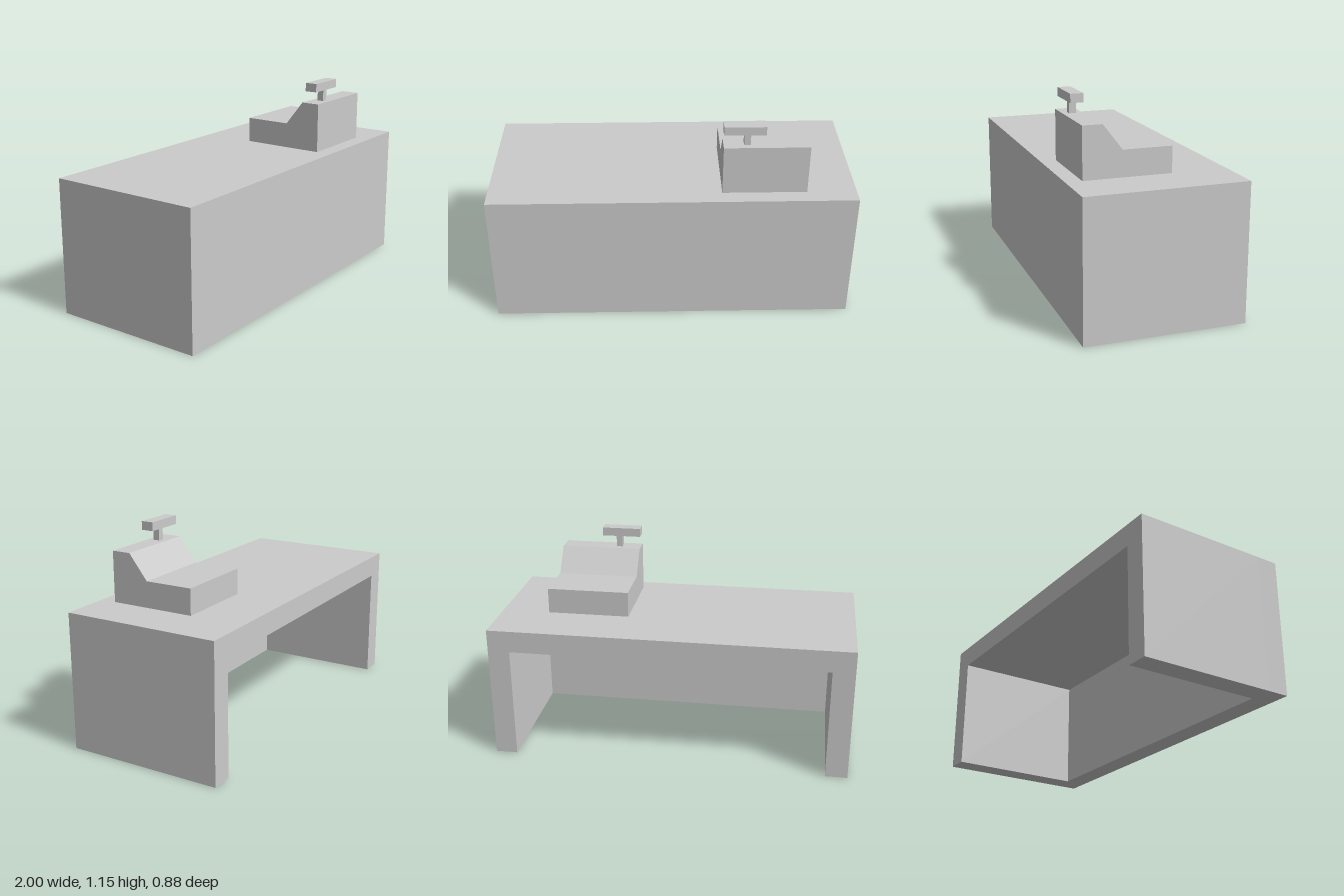
import * as THREE from 'three';

const material = new THREE.MeshStandardMaterial({ color: 0xcccccc, flatShading: true });

// Box given by its minimum and maximum corners
function box(name, [x0, y0, z0], [x1, y1, z1]) {
  const mesh = new THREE.Mesh(new THREE.BoxGeometry(x1 - x0, y1 - y0, z1 - z0), material);
  mesh.position.set((x0 + x1) / 2, (y0 + y1) / 2, (z0 + z1) / 2);
  mesh.name = name;
  return mesh;
}

// Straight extrusion of a closed outline
function prism(name, points, depth) {
  const shape = new THREE.Shape(points.map(([x, y]) => new THREE.Vector2(x, y)));
  const geometry = new THREE.ExtrudeGeometry(shape, { depth, bevelEnabled: false });
  const mesh = new THREE.Mesh(geometry, material);
  mesh.name = name;
  return mesh;
}

export function createModel() {
  const model = new THREE.Group();
  model.name = 'checkoutCounter';
  const H = 0.757, D = 0.438, T = 0.122;

  // Counter top with both end panels, open at the back and below
  const counter = prism('counterTopAndEnds', [
    [-1, 0], [-1 + T, 0], [-1 + T, H - T], [1 - T, H - T],
    [1 - T, 0], [1, 0], [1, H], [-1, H],
  ], 2 * D - T);
  counter.position.z = -D;
  model.add(counter);

  // Full-width front panel
  model.add(box('frontPanel', [-1, 0, D - T], [1, H, D]));

  // Cash register: side profile drawn as (z, y), extruded along x
  const register = new THREE.Group();
  register.name = 'cashRegister';
  const body = prism('registerBody', [
    [-0.13, H], [0.35, H], [0.35, 1.036], [0.244, 1.036], [0.138, 0.9], [-0.13, 0.9],
  ], 0.46);
  body.rotation.y = -Math.PI / 2;
  body.position.x = 0.73;
  register.add(body);

  // Customer display on its post
  register.add(box('displayPost', [0.379, 1.036, 0.28], [0.414, 1.104, 0.317]));
  register.add(box('customerDisplay', [0.27, 1.104, 0.265], [0.493, 1.152, 0.335]));
  model.add(register);

  return model;
}
